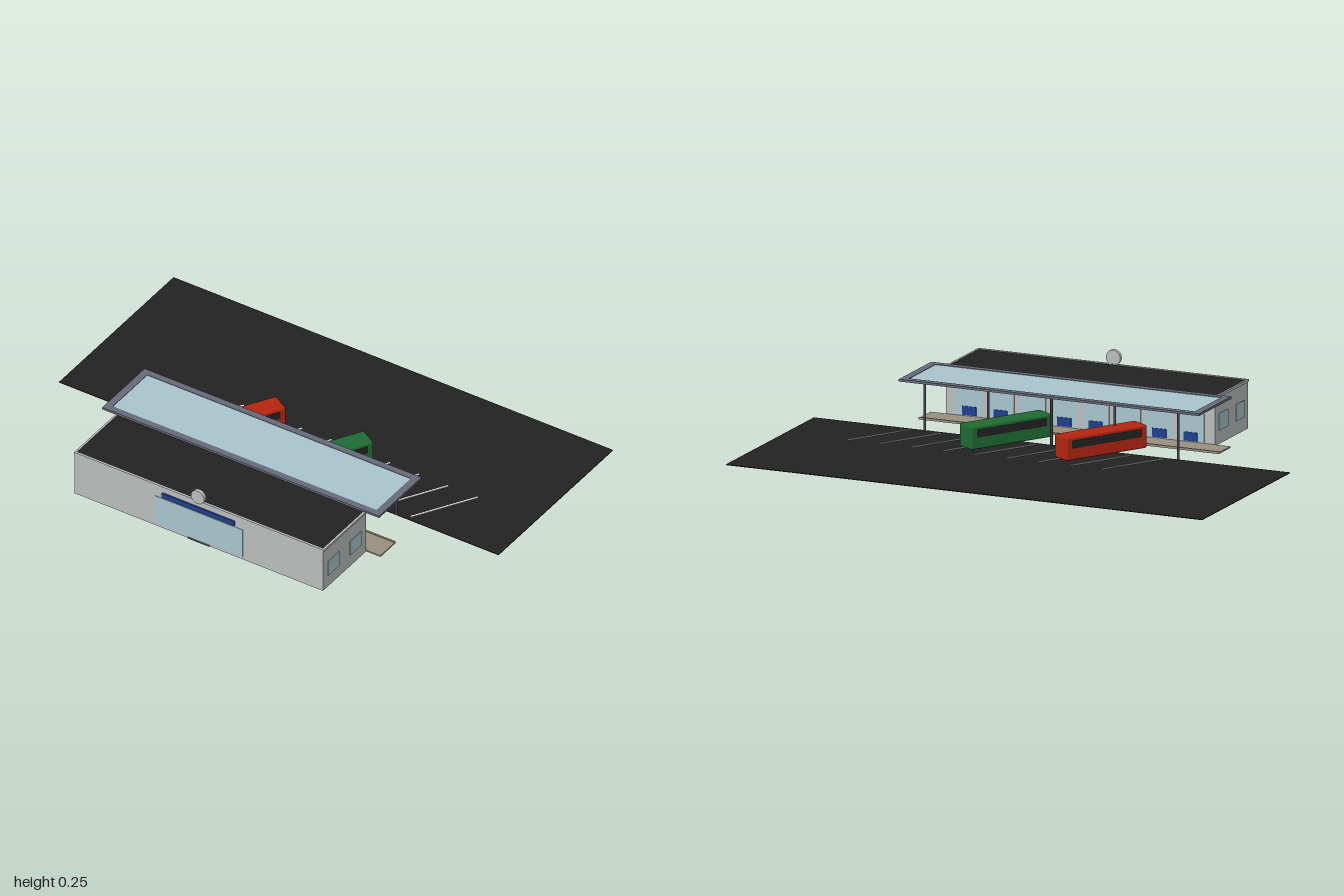
import * as THREE from 'three';
import { RoundedBoxGeometry } from 'three/addons/geometries/RoundedBoxGeometry.js';

const mat = (name, color) => {
  const m = new THREE.MeshStandardMaterial({ color });
  m.name = name;
  return m;
};

export function createModel() {
  const wall = mat('wallGrey', 0xb9bdbc);
  const glass = mat('paleGlass', 0xa8c4cc);
  const black = mat('asphaltBlack', 0x222222);
  const blue = mat('signBlue', 0x1f3f90);
  const red = mat('busRed', 0xb52510);
  const green = mat('busGreen', 0x1f6b33);
  const steel = mat('frameSteel', 0x666a78);
  const post = mat('postSteel', 0x41424c);
  const paving = mat('paving', 0x989080);
  const white = mat('lineWhite', 0xeaeaea);

  const model = new THREE.Group();
  model.name = 'busStation';

  const add = (name, geometry, material, x, y, z, parent = model) => {
    const mesh = new THREE.Mesh(geometry, material);
    mesh.name = name;
    mesh.position.set(x, y, z);
    parent.add(mesh);
    return mesh;
  };
  // Box given by its minimum and maximum on each axis
  const box = (name, material, x0, x1, y0, y1, z0, z1, parent) =>
    add(name, new THREE.BoxGeometry(x1 - x0, y1 - y0, z1 - z0), material,
      (x0 + x1) / 2, (y0 + y1) / 2, (z0 + z1) / 2, parent);

  // Bus yard with slanted bay lines
  const slant = Math.atan(0.6);
  box('yard', black, -1, 1, 0, 0.003, -0.68, 0.115);
  for (let i = 0; i < 9; i++) {
    const line = add('bayLine', new THREE.BoxGeometry(0.007, 0.002, 0.283), white,
      -0.402 + i * 0.133, 0.004, -0.024);
    line.rotation.y = -slant;
  }

  // Terminal hall with a low parapet around the dark roof
  box('hall', wall, -0.565, 0.565, 0, 0.188, 0.37, 0.67);
  box('roof', black, -0.56, 0.56, 0.188, 0.191, 0.375, 0.662);
  for (const s of [-1, 1]) {
    box('sideParapet', wall, s * 0.564 - 0.004, s * 0.564 + 0.004, 0.184, 0.194, 0.37, 0.67);
    // Two windows on each end wall
    for (const z of [0.597, 0.445])
      box('sideWindow', glass, s * 0.566 - 0.002, s * 0.566 + 0.002, 0.053, 0.12, z - 0.039, z + 0.039);
  }
  box('frontParapet', wall, -0.568, 0.568, 0.184, 0.194, 0.662, 0.67);

  // Street front: glazed entrance, sign and roof clock
  box('entranceGlass', glass, -0.2, 0.2, 0.012, 0.14, 0.669, 0.672);
  box('entranceStep', steel, -0.05, 0.05, 0, 0.005, 0.67, 0.674);
  box('entranceSign', blue, -0.165, 0.165, 0.147, 0.168, 0.669, 0.676);
  const clock = add('clock', new THREE.CylinderGeometry(0.03, 0.03, 0.015, 32), wall, 0, 0.218, 0.672);
  clock.rotation.x = Math.PI / 2;

  // Platform with eight boarding gates
  box('platform', paving, -0.63, 0.63, 0, 0.006, 0.27, 0.37);
  box('curb', paving, -0.63, 0.63, 0, 0.009, 0.265, 0.272);
  for (let i = 0; i < 8; i++) {
    const x = (i - 3.5) * 0.133;
    box('gateGlass', glass, x - 0.055, x + 0.055, 0.01, 0.122, 0.367, 0.371);
    box('gatePanel', blue, x - 0.03, x + 0.03, 0.01, 0.045, 0.365, 0.37);
    box('gateSign', black, x - 0.024, x + 0.024, 0.129, 0.146, 0.364, 0.37);
  }

  // Canopy: steel frame around a glass sheet, on five posts
  const frame = new THREE.Shape([[-0.63, -0.38], [0.63, -0.38], [0.63, -0.085], [-0.63, -0.085]]
    .map(p => new THREE.Vector2(...p)));
  frame.holes.push(new THREE.Path([[-0.6, -0.352], [-0.6, -0.113], [0.6, -0.113], [0.6, -0.352]]
    .map(p => new THREE.Vector2(...p))));
  const canopy = add('canopyFrame',
    new THREE.ExtrudeGeometry(frame, { depth: 0.009, bevelEnabled: false }), steel, 0, 0.191, 0);
  canopy.rotation.x = -Math.PI / 2;
  box('canopyGlass', glass, -0.6, 0.6, 0.193, 0.198, 0.113, 0.352);
  for (let i = -2; i <= 2; i++)
    add('canopyPost', new THREE.CylinderGeometry(0.005, 0.005, 0.191, 10), post, i * 0.266, 0.0955, 0.11);

  // Parked buses with a window band along both sides
  const bus = (name, paint, x) => {
    const g = new THREE.Group();
    g.name = name;
    add('busBody', new RoundedBoxGeometry(0.085, 0.092, 0.372, 1, 0.008), paint, 0, 0.064, 0, g);
    for (const s of [-1, 1])
      add('busWindows', new THREE.BoxGeometry(0.004, 0.032, 0.322), black, s * 0.0415, 0.081, 0, g);
    g.position.set(x, 0, 0.034);
    g.rotation.y = -slant;
    model.add(g);
  };
  bus('redBus', red, -0.242);
  bus('greenBus', green, 0.157);

  return model;
}
